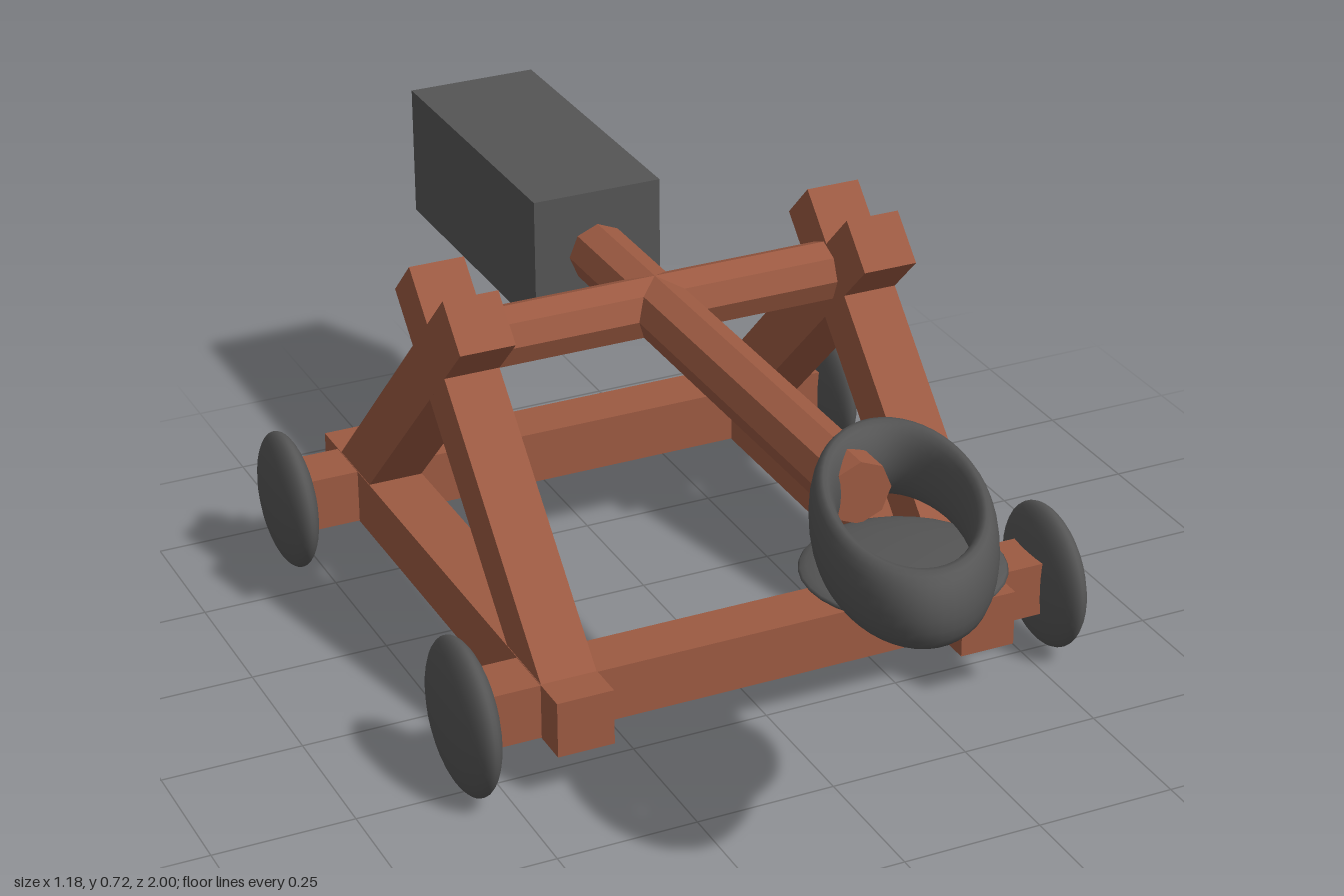
import * as THREE from 'three';

export function createModel() {
  const root = new THREE.Group();
  const wood = new THREE.MeshStandardMaterial({ color: 0x9c5a42, flatShading: true });
  const stone = new THREE.MeshStandardMaterial({ color: 0x555555 });

  const add = (name, geometry, material, x, y, z) => {
    const mesh = new THREE.Mesh(geometry, material);
    mesh.name = name;
    mesh.position.set(x, y, z);
    root.add(mesh);
    return mesh;
  };

  // Square beam running between two points
  const beam = (name, from, to, size) => {
    const a = new THREE.Vector3(...from), b = new THREE.Vector3(...to);
    const mid = a.clone().lerp(b, 0.5);
    const mesh = add(name, new THREE.BoxGeometry(size, size, a.distanceTo(b)), wood, mid.x, mid.y, mid.z);
    mesh.lookAt(b);
  };

  // Ground frame: side rails and the two axles
  for (const [side, x] of [['left', 0.373], ['right', -0.38]]) {
    beam(side + 'Rail', [x, 0.143, -0.715], [x, 0.143, 0.35], 0.102);
    // Crossed legs, each tilted 45 degrees
    beam(side + 'FrontLeg', [x, 0.155, 0.25], [x, 0.69, -0.285], 0.1);
    beam(side + 'RearLeg', [x, 0.155, -0.6], [x, 0.69, -0.065], 0.1);
  }
  beam('frontAxle', [-0.54, 0.143, 0.233], [0.54, 0.143, 0.233], 0.1);
  beam('rearAxle', [-0.54, 0.143, -0.598], [0.53, 0.143, -0.598], 0.1);

  // Lens-shaped wheels: x, y, z, half thickness, radius
  const wheels = {
    frontLeftWheel: [0.548, 0.143, 0.238, 0.037, 0.132],
    frontRightWheel: [-0.552, 0.142, 0.24, 0.039, 0.138],
    rearLeftWheel: [0.537, 0.145, -0.59, 0.035, 0.126],
    rearRightWheel: [-0.552, 0.145, -0.59, 0.037, 0.126],
  };
  for (const [name, [x, y, z, half, r]] of Object.entries(wheels)) {
    const wheel = add(name, new THREE.SphereGeometry(1, 32, 20), stone, x, y, z);
    wheel.scale.set(half, r, r);
  }

  // Octagonal pivot bar and throwing arm
  const pivot = add('pivotBar', new THREE.CylinderGeometry(0.055, 0.055, 0.68, 8), wood, -0.003, 0.596, -0.185);
  pivot.rotation.z = Math.PI / 2;
  const arm = add('throwingArm', new THREE.CylinderGeometry(0.055, 0.055, 1.045, 8), wood, -0.004, 0.596, 0.058);
  arm.rotation.x = Math.PI / 2;

  // Counterweight block
  add('counterweight', new THREE.BoxGeometry(0.243, 0.243, 0.575), stone, -0.004, 0.593, -0.7125);

  // Bucket: shallow dish under an oval rim turned on the arm
  const dish = add('bucketDish', new THREE.SphereGeometry(1, 32, 16), stone, -0.003, 0.534, 0.723);
  dish.scale.set(0.164, 0.021, 0.162);
  const rimGeometry = new THREE.TorusGeometry(0.85, 0.15, 20, 48).rotateX(Math.PI / 2);
  const rim = add('bucketRim', rimGeometry, stone, -0.003, 0.6, 0.72);
  rim.scale.set(0.143, 0.433, 0.291);
  rim.rotation.y = -Math.PI / 9;

  return root;
}
